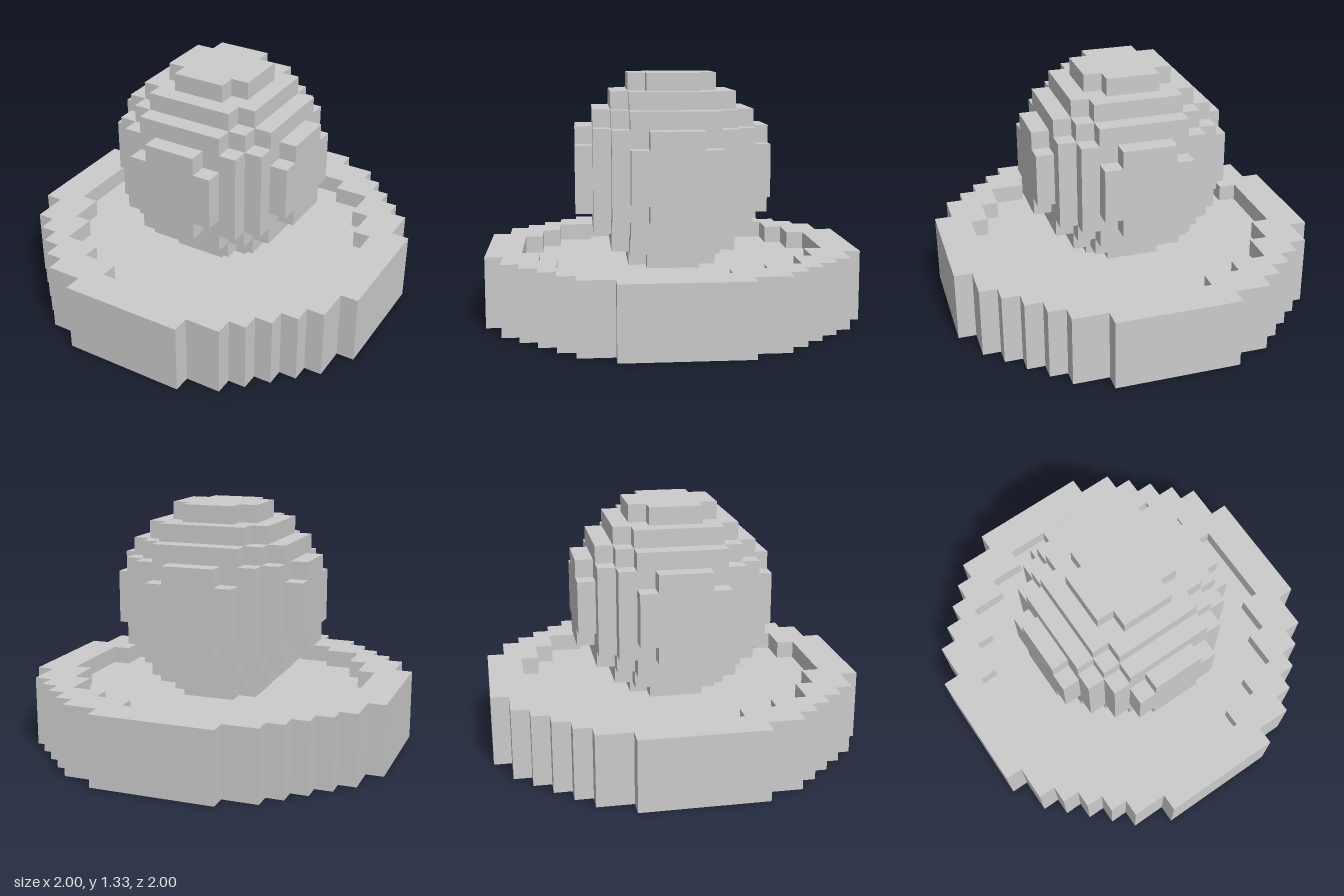
import * as THREE from 'three';
import { mergeGeometries } from 'three/addons/utils/BufferGeometryUtils.js';

const S = 2 / 21; // edge of one block: 21 blocks span the full width
const material = new THREE.MeshStandardMaterial({ color: 0xcccccc, flatShading: true });

// Parts as tests on block coordinates (x and z centred, y counted from the ground)
const disc = (x, z, r) => x * x + z * z < r * r;
const parts = {
  base: (x, y, z) => y >= 0 && y < 3 && disc(x, z, 10.5),
  rim: (x, y, z) => y === 3 && disc(x, z, 10.5) && !disc(x, z, 8.5),
  ball: (x, y, z) => y >= 3 && x * x + (y - 8) ** 2 + z * z < 5.5 ** 2,
};
const solid = (x, y, z) => Object.values(parts).some((inside) => inside(x, y, z));

// One outward-facing square for each of the six block sides
const sides = [
  [1, 0, 0], [-1, 0, 0], [0, 1, 0], [0, -1, 0], [0, 0, 1], [0, 0, -1],
].map((dir) => {
  const normal = new THREE.Vector3(...dir);
  const turn = new THREE.Quaternion().setFromUnitVectors(new THREE.Vector3(0, 0, 1), normal);
  const face = new THREE.PlaneGeometry(S, S).applyQuaternion(turn);
  face.translate(...normal.multiplyScalar(S / 2).toArray());
  return { dir, face };
});

// Skin of a part: only the block sides that touch air
function blockMesh(name, inside) {
  const faces = [];
  for (let x = -10; x <= 10; x++)
    for (let y = 0; y < 14; y++)
      for (let z = -10; z <= 10; z++) {
        if (!inside(x, y, z)) continue;
        for (const { dir, face } of sides) {
          if (solid(x + dir[0], y + dir[1], z + dir[2])) continue;
          faces.push(face.clone().translate(x * S, (y + 0.5) * S, z * S));
        }
      }
  const mesh = new THREE.Mesh(mergeGeometries(faces), material);
  mesh.name = name;
  return mesh;
}

export function createModel() {
  const group = new THREE.Group();
  group.name = 'blockBallOnDish';
  for (const [name, inside] of Object.entries(parts)) group.add(blockMesh(name, inside));
  return group;
}
